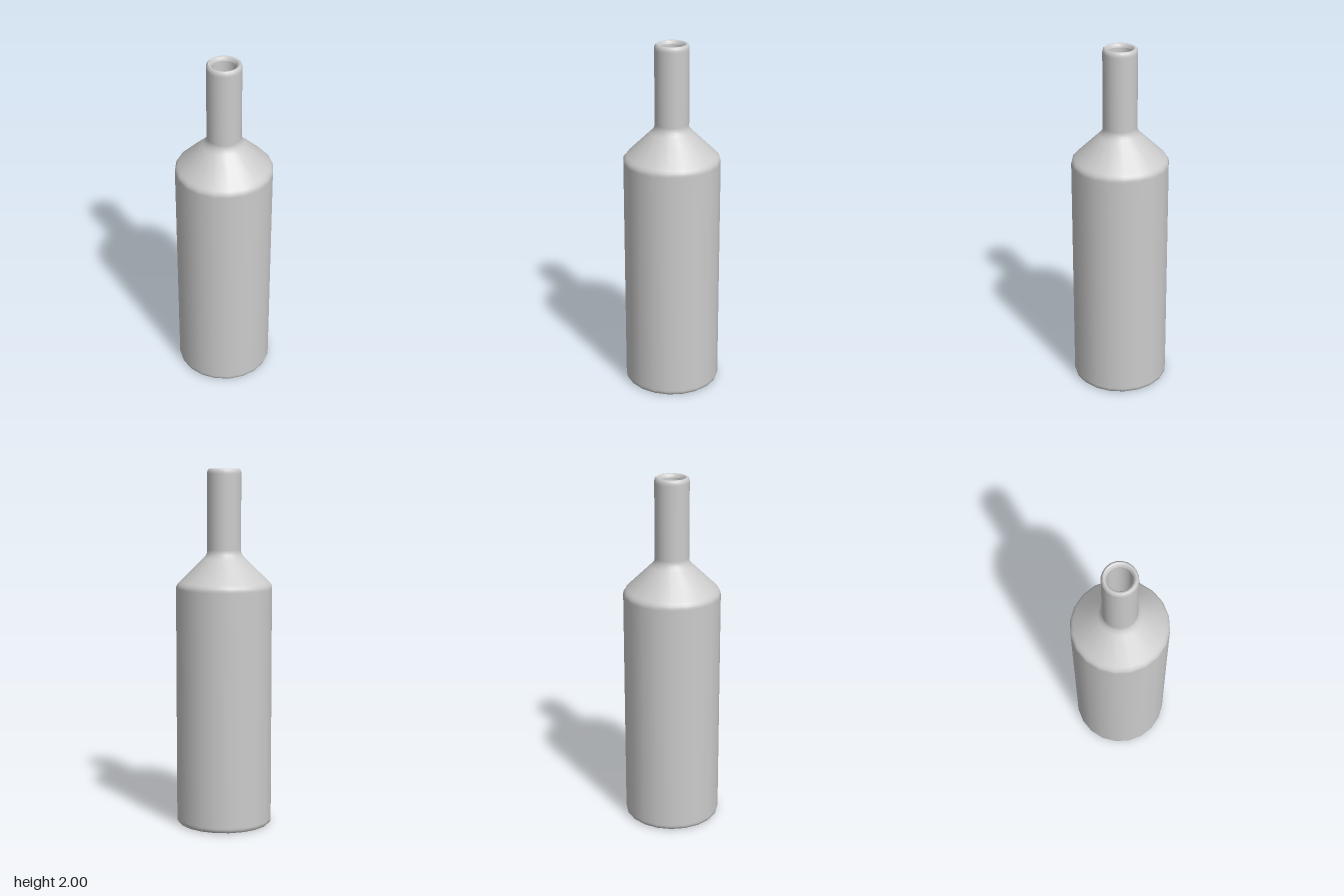
import * as THREE from 'three';

const SIDES = 20;

// Turns a list of [radius, height] pairs into a smooth lathed surface
function lathe(name, profile, material) {
  const points = profile.map(([r, y]) => new THREE.Vector2(r, y));
  const mesh = new THREE.Mesh(new THREE.LatheGeometry(points, SIDES), material);
  mesh.name = name;
  return mesh;
}

export function createModel() {
  const bottle = new THREE.Group();
  bottle.name = 'bottle';
  const material = new THREE.MeshStandardMaterial({ color: 0xcccccc });

  // Base, straight body, conical shoulder and neck; close pairs keep bevels tight
  bottle.add(lathe('outerShell', [
    [0, 0], [0.25, 0], [0.258, 0.001], [0.266, 0.008], [0.27, 0.02], [0.27, 0.03],
    [0.27, 1.335], [0.27, 1.345], [0.267, 1.358], [0.258, 1.37], [0.25, 1.378],
    [0.12, 1.505], [0.112, 1.513], [0.1, 1.528], [0.095, 1.545], [0.095, 1.555],
    [0.095, 1.97], [0.095, 1.98], [0.092, 1.993], [0.084, 2],
  ], material));

  // Rounded rim around the mouth
  bottle.add(lathe('rim', [
    [0.084, 2], [0.078, 2], [0.07, 1.994], [0.065, 1.98],
  ], material));

  // Hollow inside, running from the mouth down to the floor
  bottle.add(lathe('innerShell', [
    [0.065, 1.98], [0.065, 1.97], [0.065, 1.54], [0.075, 1.51], [0.085, 1.498],
    [0.235, 1.35], [0.24, 1.335], [0.24, 0.05], [0.235, 0.035], [0.22, 0.03], [0, 0.03],
  ], material));

  return bottle;
}
